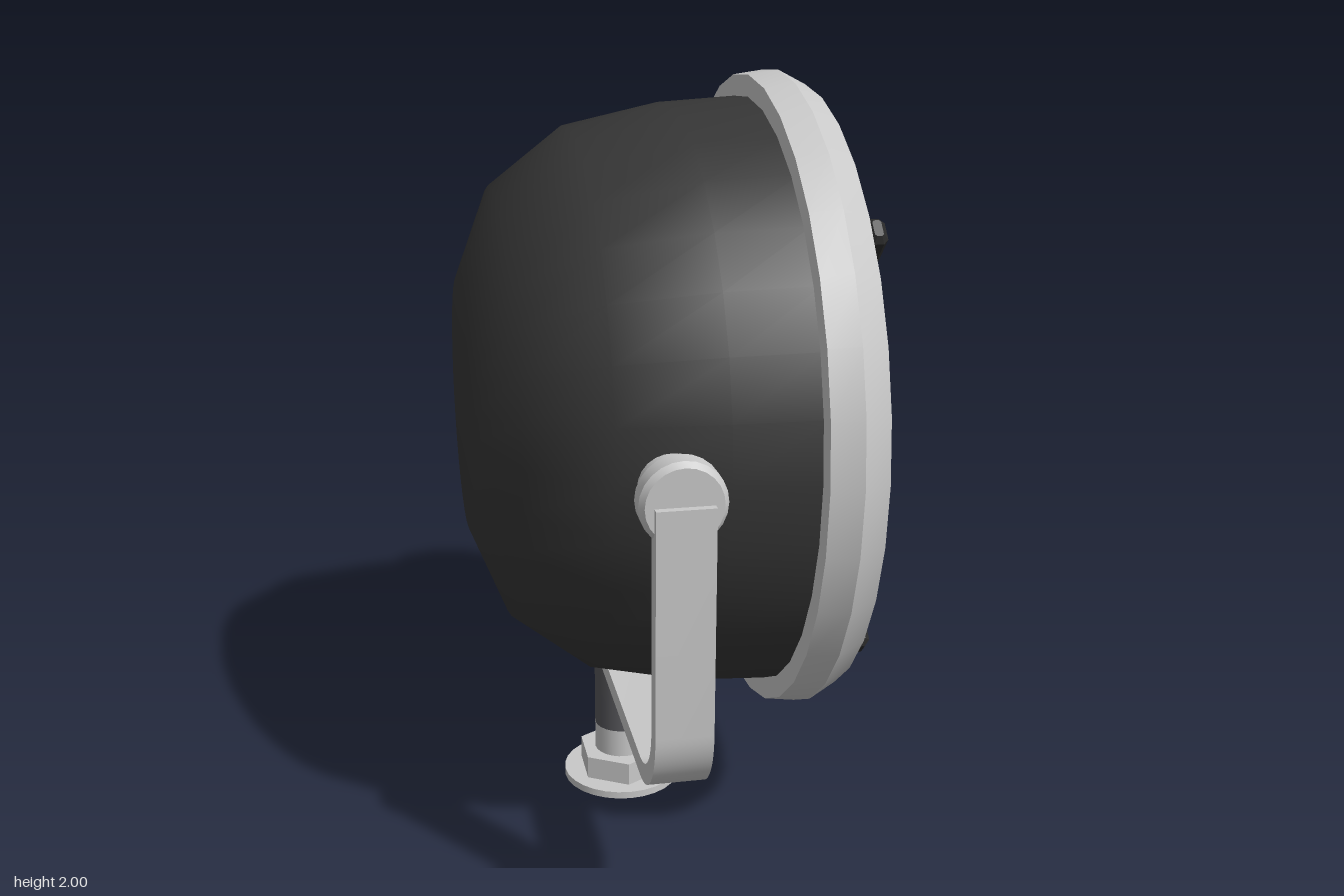
import * as THREE from 'three';
import { toCreasedNormals } from 'three/addons/utils/BufferGeometryUtils.js';

const mat = (name, color, side = THREE.FrontSide) => {
  const m = new THREE.MeshStandardMaterial({ color, side });
  m.name = name;
  return m;
};

export function createModel() {
  const model = new THREE.Group();
  const housingBlack = mat('housing black', 0x363636);
  const barBlack = mat('bar black', 0x2a2a2a);
  const postGrey = mat('post dark grey', 0x56565a);
  const metal = mat('light metal', 0xc8c8c8);
  const CY = 1.145; // height of the lamp axis
  const PX = -0.07; // x of the pivot and stand

  const add = (name, geometry, material, parent = model) => {
    const mesh = new THREE.Mesh(geometry, material);
    mesh.name = name;
    parent.add(mesh);
    return mesh;
  };
  // profile points are [distance along axis, radius]
  const lathe = (pts, segments, crease) => {
    const g = new THREE.LatheGeometry(pts.map(([a, r]) => new THREE.Vector2(r, a)), segments);
    return crease ? toCreasedNormals(g, crease) : g;
  };

  // lamp head, turned around the x axis
  const head = new THREE.Group();
  head.name = 'lampHead';
  head.position.y = CY;
  model.add(head);
  const turned = (name, pts, seg, material, crease) => {
    add(name, lathe(pts, seg, crease).rotateZ(-Math.PI / 2), material, head);
  };
  turned('housing', [[-0.5, 0], [-0.495, 0.335], [-0.4, 0.572], [-0.2, 0.722],
    [0.06, 0.777], [0.29, 0.79]], 32, housingBlack);
  turned('rim', [[0.27, 0.74], [0.27, 0.845], [0.35, 0.856], [0.422, 0.818],
    [0.422, 0.812], [0.345, 0.75], [0.29, 0.745]], 32, metal, 0.6);
  turned('lens', [[0.32, 0.755], [0.345, 0.6], [0.367, 0.4], [0.38, 0.2], [0.385, 0]], 32, metal);
  turned('hub', [[0.38, 0], [0.38, 0.07], [0.425, 0.08], [0.43, 0.108], [0.44, 0.116],
    [0.475, 0.116], [0.49, 0.105], [0.49, 0]], 20, metal, 0.6);

  // four chamfered bars crossing in front of the lens
  const w = 0.036, t = 0.025, c = 0.013;
  const section = new THREE.Shape([[-t, -w + c], [-t + c, -w], [t - c, -w], [t, -w + c],
    [t, w - c], [t - c, w], [-t + c, w], [-t, w - c]].map(([x, y]) => new THREE.Vector2(x, y)));
  const barGeometry = new THREE.ExtrudeGeometry(section, {
    depth: 0.65, bevelEnabled: true, bevelSegments: 1,
    bevelSize: 0.014, bevelThickness: 0.016, bevelOffset: -0.014,
  });
  barGeometry.translate(0, 0, 0.105);
  for (let i = 0; i < 4; i++) {
    const bar = add('crossBar', barGeometry, barBlack, head);
    bar.position.x = 0.455;
    bar.rotation.x = Math.PI / 4 + i * Math.PI / 2;
  }

  // U-shaped yoke: outline in the zy plane, extruded along x
  const U = (s, half, bottom, r, flip) => {
    const p = [
      () => s.lineTo(-half, bottom + r),
      () => s.absarc(-half + r, bottom + r, r, Math.PI, Math.PI * 1.5, false),
      () => s.absarc(half - r, bottom + r, r, Math.PI * 1.5, Math.PI * 2, false),
      () => s.lineTo(half, CY),
    ];
    if (!flip) return p.forEach((f) => f());
    s.lineTo(half, bottom + r);
    s.absarc(half - r, bottom + r, r, 0, -Math.PI / 2, true);
    s.absarc(-half + r, bottom + r, r, -Math.PI / 2, -Math.PI, true);
    s.lineTo(-half, CY);
  };
  const yokeShape = new THREE.Shape();
  yokeShape.moveTo(-0.885, CY);
  U(yokeShape, 0.885, 0.38, 0.2, false);
  yokeShape.lineTo(0.835, CY);
  U(yokeShape, 0.835, 0.43, 0.15, true);
  const yokeGeometry = new THREE.ExtrudeGeometry(yokeShape, { depth: 0.14, bevelEnabled: false, curveSegments: 8 });
  yokeGeometry.translate(0, 0, -0.07).rotateY(Math.PI / 2);
  add('yoke', toCreasedNormals(yokeGeometry, 0.6), metal).position.x = PX;

  // pivot knobs on both sides
  const knobGeometry = lathe([[0.68, 0], [0.68, 0.085], [0.787, 0.085], [0.787, 0.095], [0.8, 0.104],
    [0.85, 0.104], [0.866, 0.092], [0.866, 0]], 24, 0.6);
  for (const s of [1, -1]) {
    const knob = add(s > 0 ? 'leftPivotKnob' : 'rightPivotKnob', knobGeometry, metal);
    knob.position.set(PX, CY, 0);
    knob.rotation.x = s * Math.PI / 2;
  }

  // stand
  const cyl = (name, r, y0, y1, seg, material) => {
    add(name, new THREE.CylinderGeometry(r, r, y1 - y0, seg), material).position.set(PX, (y0 + y1) / 2, 0);
  };
  cyl('post', 0.076, 0.165, 0.385, 24, postGrey);
  cyl('postCollar', 0.076, 0.08, 0.165, 24, metal);
  const nut = new THREE.CylinderGeometry(0.125, 0.125, 0.065, 6).toNonIndexed();
  nut.computeVertexNormals();
  add('hexNut', nut, metal).position.set(PX, 0.0525, 0);
  cyl('basePlate', 0.165, 0, 0.02, 28, metal);

  return model;
}
